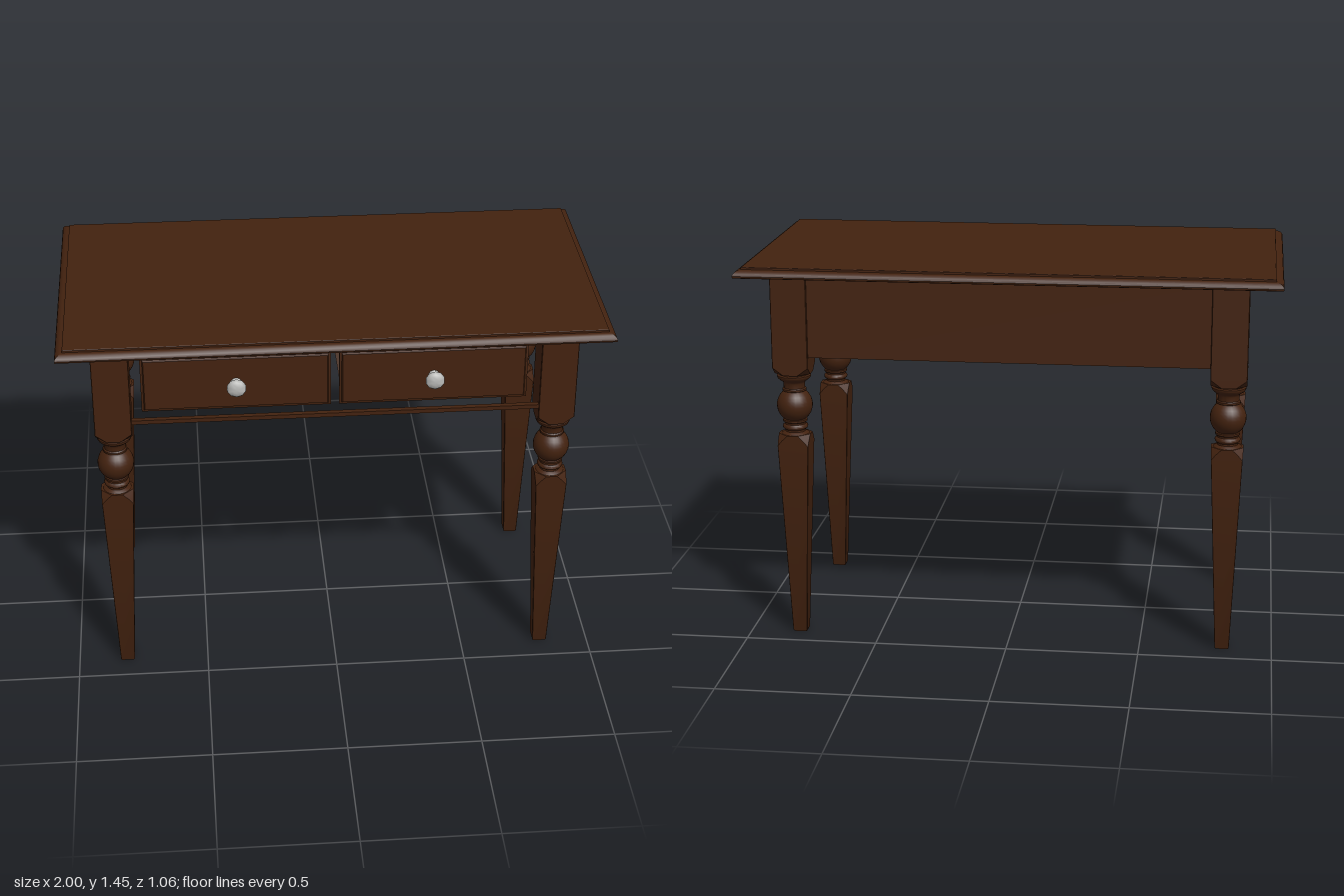
import * as THREE from 'three';
import { toCreasedNormals } from 'three/addons/utils/BufferGeometryUtils.js';

// Solid from stacked rectangles with cut corners; rings run bottom to top: [y, halfX, halfZ, cornerCut]
function loft(rings) {
  const pos = [], idx = [];
  for (const [y, a, b, c] of rings) {
    pos.push(a, y, b - c, a, y, c - b, a - c, y, -b, c - a, y, -b,
      -a, y, c - b, -a, y, b - c, c - a, y, b, a - c, y, b);
  }
  for (let r = 0; r < rings.length - 1; r++) {
    for (let i = 0; i < 8; i++) {
      const p = r * 8 + i, q = r * 8 + (i + 1) % 8;
      idx.push(p, q, q + 8, p, q + 8, p + 8);
    }
  }
  const top = (rings.length - 1) * 8;
  for (let i = 1; i < 7; i++) idx.push(top, top + i, top + i + 1, 0, i + 1, i);
  const g = new THREE.BufferGeometry();
  g.setAttribute('position', new THREE.Float32BufferAttribute(pos, 3));
  g.setIndex(idx);
  return toCreasedNormals(g, 0.5);
}

function turned(points, segments, crease) {
  const g = new THREE.LatheGeometry(points.map(([r, y]) => new THREE.Vector2(r, y)), segments);
  return toCreasedNormals(g, crease);
}

export function createModel() {
  const model = new THREE.Group();
  model.name = 'table';
  const material = (name, color) => {
    const m = new THREE.MeshStandardMaterial({ color });
    m.name = name;
    return m;
  };
  const wood = material('dark wood', 0x43220f);
  const paleWood = material('pale drawer wood', 0x88624f);
  const metal = material('knob metal', 0xb9b9b7);

  const add = (parent, name, geometry, mat, x = 0, y = 0, z = 0) => {
    const mesh = new THREE.Mesh(geometry, mat);
    mesh.name = name;
    mesh.position.set(x, y, z);
    parent.add(mesh);
    return mesh;
  };
  const box = (parent, name, mat, w, h, d, x, y, z) =>
    add(parent, name, new THREE.BoxGeometry(w, h, d), mat, x, y, z);

  // Table top with a rounded edge and a small step
  const edge = [[1.41, 0.012], [1.413, 0.002], [1.42, 0], [1.428, 0.003], [1.435, 0.01],
    [1.44, 0.02], [1.441, 0.028], [1.448, 0.028], [1.45, 0.031]];
  add(model, 'tableTop', loft(edge.map(([y, inset]) => [y, 1 - inset, 0.53 - inset, 0])), wood);

  // Legs: square block, turned section with ball, square taper
  const block = loft([[1.03, 0.0675, 0.0675, 0.042], [1.045, 0.0675, 0.0675, 0.022],
    [1.06, 0.0675, 0.0675, 0.002], [1.41, 0.0675, 0.0675, 0.002]]);
  const taper = loft([[0, 0.025, 0.025, 0.003], [0.006, 0.027, 0.027, 0.001],
    [0.755, 0.058, 0.058, 0.001], [0.775, 0.059, 0.059, 0.018], [0.795, 0.06, 0.06, 0.04]]);
  const turning = turned([[0.058, 0.79], [0.05, 0.797], [0.038, 0.803], [0.038, 0.81],
    [0.046, 0.816], [0.048, 0.822], [0.046, 0.828], [0.04, 0.832], [0.04, 0.838],
    [0.046, 0.842], [0.046, 0.849], [0.036, 0.853], [0.036, 0.957], [0.045, 0.961],
    [0.045, 0.968], [0.04, 0.972], [0.04, 0.99], [0.044, 0.997], [0.053, 1.003],
    [0.061, 1.01], [0.064, 1.017], [0.064, 1.021], [0.056, 1.024], [0.056, 1.032]], 24, 0.7);
  const ball = new THREE.SphereGeometry(0.0675, 24, 16);
  for (const sx of [-1, 1]) {
    for (const sz of [-1, 1]) {
      const leg = new THREE.Group();
      leg.name = (sz > 0 ? 'front' : 'back') + (sx > 0 ? 'Left' : 'Right') + 'Leg';
      leg.position.set(sx * 0.8125, 0, sz * 0.3825);
      add(leg, 'legBlock', block, wood);
      add(leg, 'legTurning', turning, wood);
      add(leg, 'legBall', ball, wood, 0, 0.905, 0);
      add(leg, 'legTaper', taper, wood);
      model.add(leg);
    }
    box(model, 'sideApron', wood, 0.025, 0.31, 0.64, sx * 0.8575, 1.255, 0);
  }

  // Back apron and the thin rail under the drawers
  box(model, 'backApron', wood, 1.5, 0.31, 0.025, 0, 1.255, -0.4275);
  box(model, 'frontRail', wood, 1.5, 0.016, 0.02, 0, 1.108, 0.437);

  // Two drawers: bevelled front, open box and knob
  const drawerFront = loft([[0.43, 0.3425, 0.11, 0], [0.447, 0.3425, 0.11, 0],
    [0.449, 0.334, 0.102, 0], [0.456, 0.33, 0.098, 0]]).rotateX(Math.PI / 2);
  const knob = turned([[0.022, 0.45], [0.02, 0.458], [0.012, 0.464], [0.01, 0.474],
    [0.013, 0.481], [0.028, 0.486], [0.035, 0.492], [0.035, 0.499], [0.029, 0.506],
    [0.014, 0.511], [0, 0.512]], 10, 0.9).rotateX(Math.PI / 2);
  for (const x of [-0.3625, 0.3525]) {
    const drawer = new THREE.Group();
    drawer.name = x > 0 ? 'leftDrawer' : 'rightDrawer';
    drawer.position.set(x, 1.265, 0);
    add(drawer, 'drawerFront', drawerFront, wood);
    add(drawer, 'drawerKnob', knob, metal);
    box(drawer, 'drawerBottom', paleWood, 0.66, 0.012, 0.59, 0, -0.089, 0.135);
    box(drawer, 'drawerBack', paleWood, 0.66, 0.178, 0.014, 0, 0.006, -0.153);
    for (const s of [-1, 1]) {
      box(drawer, 'drawerSide', paleWood, 0.014, 0.178, 0.576, s * 0.323, 0.006, 0.142);
    }
    model.add(drawer);
  }
  return model;
}
